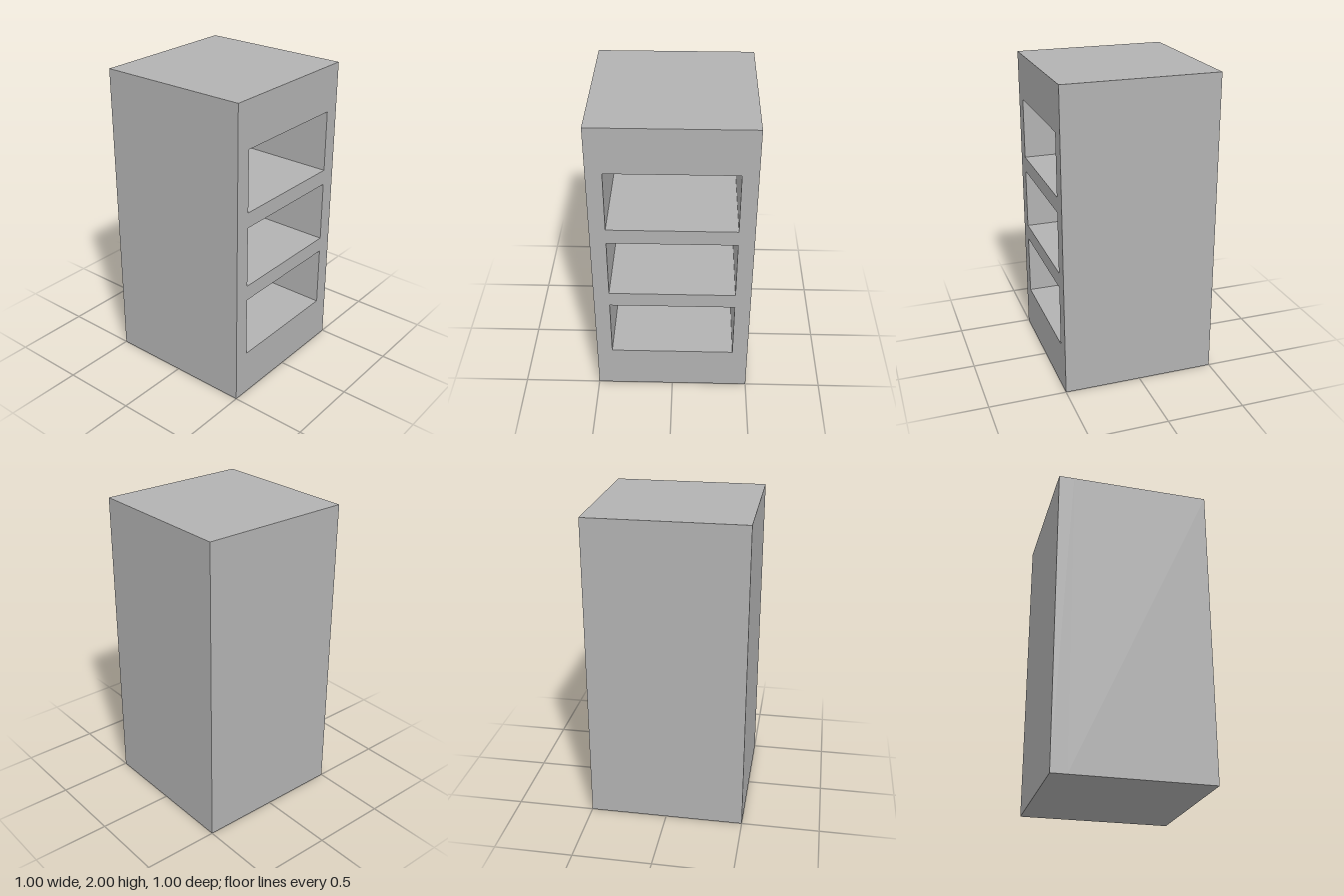
import * as THREE from 'three';

const WALL = 0.1;

// Rectangle outline centred on x, given its bottom and top heights
function rectangle(PathType, width, bottom, top) {
  const w = width / 2;
  const path = new PathType();
  path.moveTo(-w, bottom);
  path.lineTo(w, bottom);
  path.lineTo(w, top);
  path.lineTo(-w, top);
  path.closePath();
  return path;
}

export function createModel() {
  const group = new THREE.Group();
  group.name = 'cabinet';

  const grey = new THREE.MeshStandardMaterial({ color: 0xb2b2b2 });
  grey.name = 'grey';

  // Body with three shelf compartments opening towards +x
  const profile = rectangle(THREE.Shape, 1, 0, 2);
  for (const y of [0.3, 0.8, 1.3]) {
    profile.holes.push(rectangle(THREE.Path, 0.8, y, y + 0.4));
  }
  const bodyGeometry = new THREE.ExtrudeGeometry(profile, { depth: 1 - WALL, bevelEnabled: false });
  bodyGeometry.rotateY(Math.PI / 2);
  const body = new THREE.Mesh(bodyGeometry, grey);
  body.name = 'shelfBody';
  body.position.x = -0.5 + WALL;
  group.add(body);

  // Closed panel behind the compartments
  const panel = new THREE.Mesh(new THREE.BoxGeometry(WALL, 2, 1), grey);
  panel.name = 'closingPanel';
  panel.position.set(-0.5 + WALL / 2, 1, 0);
  group.add(panel);

  return group;
}
